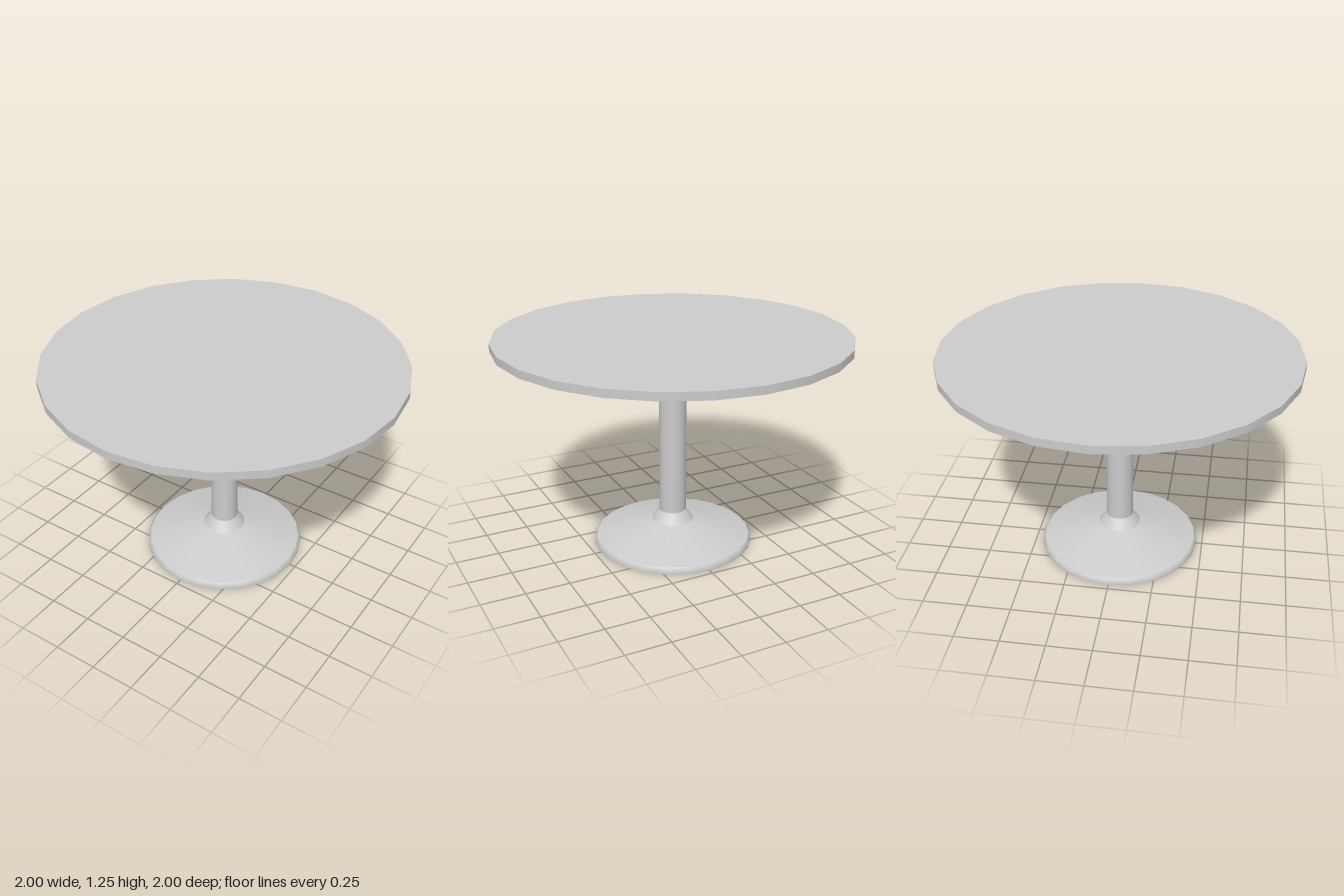
import * as THREE from 'three';

const SIDES = 24;

export function createModel() {
  const group = new THREE.Group();
  const material = new THREE.MeshStandardMaterial({ color: 0xcccccc });

  const add = (name, geometry, y = 0) => {
    const mesh = new THREE.Mesh(geometry, material);
    mesh.name = name;
    mesh.position.y = y;
    group.add(mesh);
  };

  // Straight or tapered round section between two heights
  const section = (name, rBottom, rTop, y0, y1, open = true) =>
    add(name, new THREE.CylinderGeometry(rTop, rBottom, y1 - y0, SIDES, 1, open), (y0 + y1) / 2);

  // Round slab top
  section('tableTop', 1, 1, 1.205, 1.25, false);

  // Pedestal column and its flared collar
  section('column', 0.078, 0.078, 0.187, 1.205);
  section('collar', 0.122, 0.078, 0.127, 0.187);

  // Shallow conical foot
  section('baseCone', 0.452, 0.122, 0.037, 0.127);

  // Rim with a softened upper edge
  const rim = [[0.465, 0], [0.465, 0.022], [0.452, 0.037]].map(([r, y]) => new THREE.Vector2(r, y));
  add('baseRim', new THREE.LatheGeometry(rim, SIDES));

  // Flat underside
  add('baseUnderside', new THREE.CircleGeometry(0.465, SIDES).rotateX(Math.PI / 2));

  return group;
}
